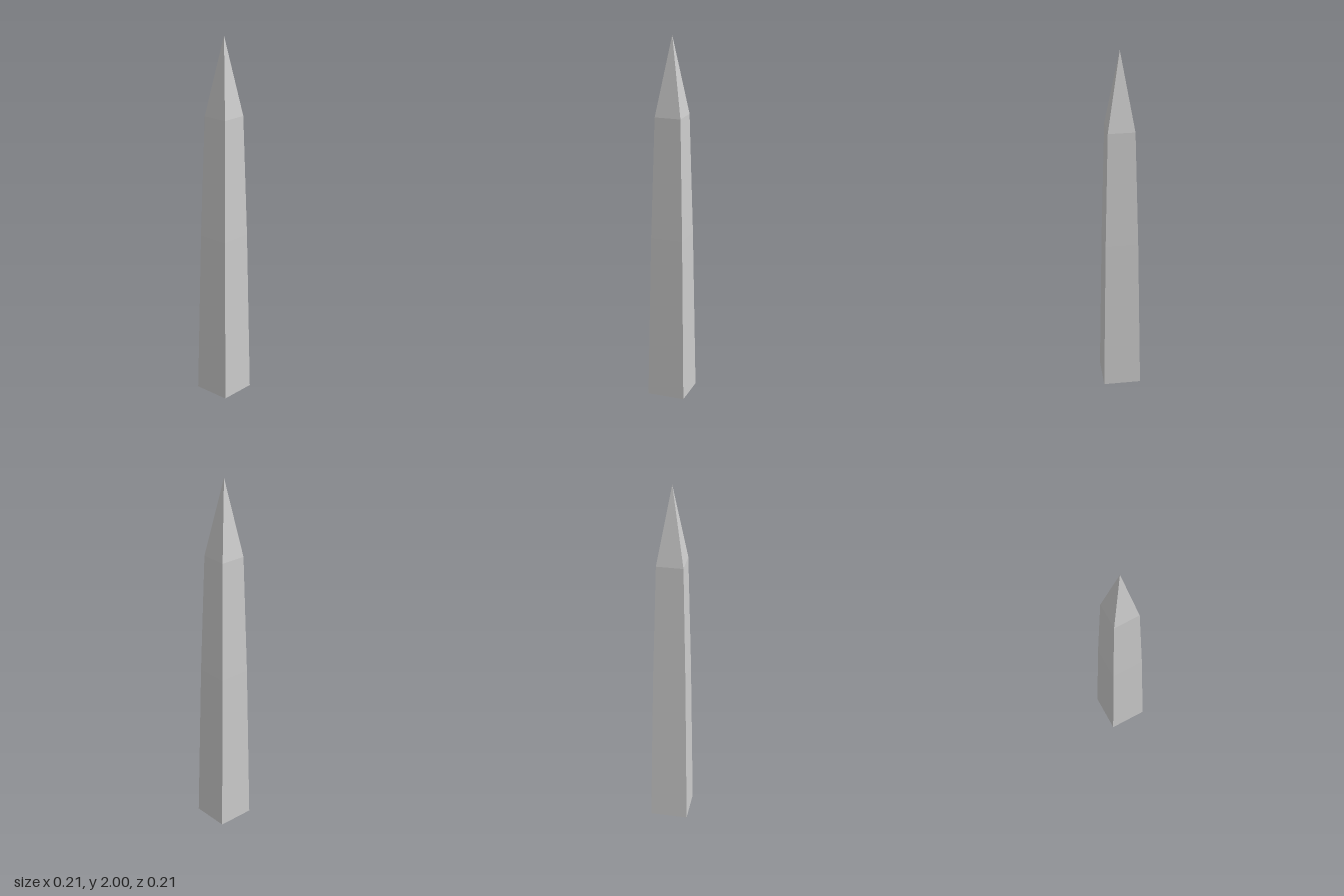
import * as THREE from 'three';

// Square tapered solid: each profile entry is [half width, height]
function squareTaper(name, profile, material) {
  const points = profile.map(([half, y]) => new THREE.Vector2(half * Math.SQRT2, y));
  const geometry = new THREE.LatheGeometry(points, 4, Math.PI / 4).toNonIndexed();
  geometry.computeVertexNormals();
  const mesh = new THREE.Mesh(geometry, material);
  mesh.name = name;
  return mesh;
}

export function createModel() {
  const group = new THREE.Group();
  group.name = 'obelisk';
  const stone = new THREE.MeshStandardMaterial({ color: 0xcccccc, flatShading: true });

  // Shaft with its closed underside, narrowing slightly faster in the upper half
  group.add(squareTaper('shaft', [[0, 0], [0.104, 0], [0.088, 0.92], [0.071, 1.58]], stone));

  // Pyramid cap
  group.add(squareTaper('pyramidCap', [[0.071, 1.58], [0, 2]], stone));

  return group;
}
